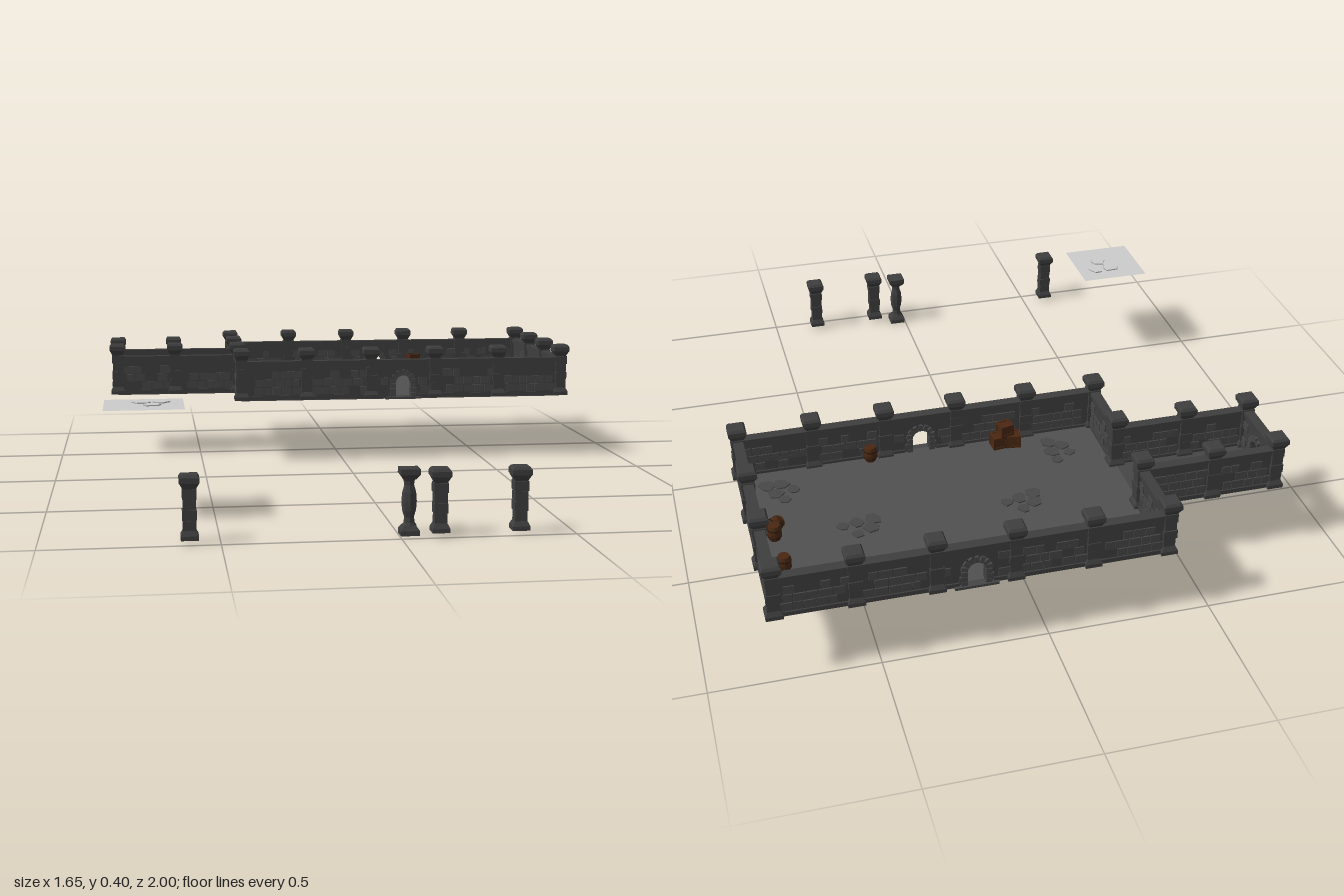
import * as THREE from 'three';
import { mergeGeometries } from 'three/addons/utils/BufferGeometryUtils.js';

const mat = (color, side = THREE.FrontSide) => {
  const m = new THREE.MeshStandardMaterial({ color, side });
  m.flatShading = true;
  return m;
};
const STONE = mat(0x3e3e3e), BRICK = mat(0x464646), FLOOR = mat(0x505050), HALL = mat(0x464646);
const SLAB = mat(0x484848), WOOD = mat(0x4a2812), IRON = mat(0x2a1a10);
const PALE = mat(0xcccccc, THREE.DoubleSide), LINE = mat(0x9a9a9a);
const Y0 = 0.22;

let seed = 7;
const rnd = (a = 0, b = 1) => {
  seed = (seed * 16807) % 2147483647;
  return a + (b - a) * (seed / 2147483647);
};

function mesh(name, geo, material, x = 0, y = 0, z = 0) {
  const m = new THREE.Mesh(geo, material);
  m.name = name;
  m.position.set(x, y, z);
  return m;
}
const box = (w, h, d, x = 0, y = 0, z = 0) => new THREE.BoxGeometry(w, h, d).translate(x, y, z);
// Square frustum given by its lower and upper widths
const frustum = (w0, w1, h, y) =>
  new THREE.CylinderGeometry(w1 / Math.SQRT2, w0 / Math.SQRT2, h, 4, 1).rotateY(Math.PI / 4)
    .translate(0, y + h / 2, 0).toNonIndexed();
const merge = (list) => mergeGeometries(list.map((g) => (g.index ? g.toNonIndexed() : g)));

// Square pier: stepped foot, uneven stone courses, flared cap
function pillar(x, y, z) {
  const parts = [frustum(0.05, 0.05, 0.012, 0), frustum(0.05, 0.036, 0.014, 0.012)];
  for (let i = 0; i < 4; i++) {
    const w = 0.036 + (i % 2) * 0.004 + rnd(-0.001, 0.002);
    parts.push(box(w, 0.0275, w, 0, 0.04 + i * 0.029, 0), box(0.034, 0.03, 0.034, 0, 0.04 + i * 0.029, 0));
  }
  parts.push(frustum(0.036, 0.054, 0.017, 0.142), frustum(0.056, 0.056, 0.015, 0.159), frustum(0.056, 0.045, 0.008, 0.174));
  return mesh('pillar', merge(parts), STONE, x, y, z);
}

// Column with a swelling shaft between square blocks
function baluster(x, y, z) {
  const pts = [[0.022, 0.025], [0.016, 0.035], [0.014, 0.05], [0.02, 0.07], [0.022, 0.095], [0.02, 0.12],
    [0.014, 0.142], [0.016, 0.155], [0.022, 0.165]].map((p) => new THREE.Vector2(...p));
  const parts = [frustum(0.054, 0.054, 0.014, 0), frustum(0.054, 0.036, 0.013, 0.014),
    new THREE.LatheGeometry(pts, 8), frustum(0.036, 0.056, 0.014, 0.16), frustum(0.056, 0.056, 0.016, 0.174)];
  return mesh('swellingColumn', merge(parts), STONE, x, y, z);
}

// Wall bay of length L along local x, optionally with an arched doorway
function wallBay(L, door) {
  const g = new THREE.Group();
  g.name = door ? 'doorwayBay' : 'wallBay';
  const h = 0.12, r = 0.027, spring = 0.053, t = 0.018;
  const s = new THREE.Shape();
  s.moveTo(-L / 2, 0);
  if (door) {
    s.lineTo(-r, 0);
    s.lineTo(-r, spring);
    s.absarc(0, spring, r, Math.PI, 0, true);
    s.lineTo(r, 0);
  }
  s.lineTo(L / 2, 0);
  s.lineTo(L / 2, h);
  s.lineTo(-L / 2, h);
  const core = new THREE.ExtrudeGeometry(s, { depth: t, bevelEnabled: false, curveSegments: 8 }).translate(0, 0, -t / 2);
  g.add(mesh('wallCore', core, STONE));
  // Coping: a narrow moulding below a wider slab
  g.add(mesh('coping', merge([box(L, 0.008, 0.024, 0, 0.12, 0), box(L, 0.014, 0.032, 0, 0.13, 0)]), STONE));
  // Foot course, interrupted by the doorway
  const clear = door ? 0.05 : 0;
  const half = L / 2 - clear;
  g.add(mesh('footCourse', merge([-1, 1].map((k) => box(half, 0.014, 0.028, k * (clear + half / 2), 0.007, 0))), STONE));
  // Raised bricks in staggered rows on both faces
  const bricks = [];
  for (const side of [-1, 1]) for (let row = 0; row < 3; row++) {
    let x = -L / 2 + 0.015 + (row % 2) * 0.012;
    while (x < L / 2 - 0.03) {
      const w = rnd(0.025, 0.043), c = x + w / 2;
      const blocked = door && Math.abs(c) < 0.048 + w / 2;
      if (!blocked && x + w < L / 2 - 0.01 && rnd() > (row === 2 ? 0.45 : 0.12))
        bricks.push(box(w - 0.003, 0.026, 0.006, c, 0.03 + row * 0.029, side * (t / 2 + rnd(0, 0.0015))));
      x += w;
    }
  }
  g.add(mesh('bricks', merge(bricks), BRICK));
  if (door) {
    // Jamb blocks, wedge stones round the arch, and a doorstep
    const parts = [box(0.13, 0.008, 0.045, 0, 0, 0)];
    for (const k of [-1, 1]) for (let i = 0; i < 3; i++)
      parts.push(box(0.018 + (i % 2) * 0.005, 0.0165, 0.034, k * (r + 0.009 + (i % 2) * 0.0025), 0.0085 + i * 0.0175, 0));
    for (let i = 0; i < 7; i++) {
      const a = (i + 0.5) * Math.PI / 7;
      parts.push(box(0.02, 0.013, 0.034, r + 0.01, 0, 0).rotateZ(a).translate(0, spring, 0));
    }
    g.add(mesh('archStones', merge(parts), BRICK));
  }
  return g;
}

// Irregular flat stone
function flag(r, h, n = 6) {
  const s = new THREE.Shape();
  for (let i = 0; i < n; i++) {
    const a = ((i + rnd(-0.25, 0.25)) / n) * Math.PI * 2, q = r * rnd(0.85, 1.1);
    i ? s.lineTo(q * Math.cos(a), q * Math.sin(a)) : s.moveTo(q * Math.cos(a), q * Math.sin(a));
  }
  return new THREE.ExtrudeGeometry(s, { depth: h, bevelEnabled: false }).rotateX(-Math.PI / 2);
}
function flagPatch(x, z, turn) {
  const spots = [[-0.04, -0.03, 0.027], [0.005, -0.035, 0.026], [-0.01, 0.012, 0.026], [0.042, -0.008, 0.02], [0.018, 0.046, 0.02]];
  const geo = merge(spots.map(([u, v, r]) => flag(r, 0.004).translate(u, 0, v)));
  const m = mesh('flagstones', geo, SLAB, x, Y0 + 0.005, z);
  m.rotation.y = turn;
  return m;
}

function crate(x, y, z, w, h, d, turn) {
  const g = new THREE.Group();
  g.name = 'crate';
  g.add(mesh('crateBody', box(w - 0.005, h - 0.005, d - 0.005), WOOD));
  const rails = [];
  for (const a of [-1, 1]) for (const b of [-1, 1]) {
    rails.push(box(w, 0.007, 0.007, 0, a * (h / 2 - 0.0035), b * (d / 2 - 0.0035)),
      box(0.007, h, 0.007, a * (w / 2 - 0.0035), 0, b * (d / 2 - 0.0035)),
      box(0.007, 0.007, d, a * (w / 2 - 0.0035), b * (h / 2 - 0.0035), 0));
  }
  g.add(mesh('crateRails', merge(rails), WOOD));
  g.position.set(x, y + h / 2, z);
  g.rotation.y = turn;
  return g;
}
function crateStack(x, z, turn) {
  const g = new THREE.Group();
  g.name = 'crateStack';
  g.add(crate(-0.022, 0, 0, 0.045, 0.042, 0.045, 0.1), crate(0.026, 0, 0.003, 0.045, 0.042, 0.045, -0.12),
    crate(0, 0.042, -0.002, 0.044, 0.038, 0.042, 0.25));
  g.position.set(x, Y0 + 0.005, z);
  g.rotation.y = turn;
  return g;
}
function barrel(x, z, lying) {
  const g = new THREE.Group();
  g.name = 'barrel';
  const pts = [[0, 0], [0.017, 0], [0.021, 0.015], [0.022, 0.025], [0.021, 0.035], [0.017, 0.05], [0, 0.05]];
  g.add(mesh('staves', new THREE.LatheGeometry(pts.map((p) => new THREE.Vector2(...p)), 10), WOOD));
  for (const y of [0.013, 0.037]) g.add(mesh('hoop', new THREE.CylinderGeometry(0.0222, 0.0222, 0.004, 10), IRON, 0, y, 0));
  g.position.set(x, Y0 + 0.005 + (lying ? 0.022 : 0), z);
  if (lying) g.rotation.set(0, 0.5, Math.PI / 2);
  return g;
}

export function createModel() {
  const root = new THREE.Group();
  root.name = 'dungeonRoomKit';

  // Floors of the room and the passage
  root.add(mesh('roomFloor', box(1.155, 0.01, 0.69), FLOOR, 0.2175, Y0, -0.63));
  root.add(mesh('passageFloor', box(0.435, 0.01, 0.23), HALL, -0.5775, Y0, -0.63));

  // Outline walked corner to corner: pillars at the points, bays between them
  const xs = [-0.36, -0.129, 0.102, 0.333, 0.564, 0.795];
  const zs = [-0.975, -0.745, -0.515, -0.285];
  const path = [
    ...xs.map((x) => [x, zs[0]]),
    [xs[5], zs[1]], [xs[5], zs[2]],
    ...[...xs].reverse().map((x) => [x, zs[3]]),
    [xs[0], zs[2]], [-0.588, zs[2]], [-0.795, zs[2]], [-0.795, zs[1]], [-0.588, zs[1]], [xs[0], zs[1]],
  ];
  const doors = [2, 10, 16];
  path.forEach(([x, z], i) => {
    root.add(pillar(x, Y0, z));
    const [u, v] = path[(i + 1) % path.length];
    const bay = wallBay(Math.hypot(u - x, v - z), doors.includes(i));
    bay.position.set((x + u) / 2, Y0, (z + v) / 2);
    bay.rotation.y = Math.atan2(z - v, u - x);
    root.add(bay);
  });

  // Loose paving on the room floor
  [[-0.11, -0.875, 0], [-0.02, -0.64, 1.2], [-0.2, -0.41, 2.5], [0.485, -0.64, 1.1], [0.66, -0.89, 0.4], [0.69, -0.41, 3]]
    .forEach((p) => root.add(flagPatch(...p)));

  // Crates and barrels along the walls
  root.add(crateStack(0.365, -0.92, 0.05), crateStack(-0.05, -0.335, Math.PI));
  root.add(barrel(0.735, -0.79), barrel(0.74, -0.64), barrel(0.755, -0.61, true), barrel(0.385, -0.31));

  // Separate supports standing in front
  for (const x of [-0.585, 0.113, 0.342]) root.add(pillar(x, 0.012, 0.97));
  root.add(baluster(0.03, 0, 0.94));

  // Spare floor panel with three pale stones and their joints
  root.add(mesh('floorPanel', new THREE.PlaneGeometry(0.235, 0.235).rotateX(-Math.PI / 2), PALE, -0.703, 0.333, 0.588));
  for (const [x, z, r] of [[-0.71, 0.548, 0.03], [-0.653, 0.545, 0.027], [-0.678, 0.605, 0.028]]) {
    const stone = flag(r, 0.003);
    root.add(mesh('panelStone', stone, PALE, x, 0.334, z));
    root.add(mesh('stoneJoint', stone.clone().scale(1.06, 0.5, 1.06), LINE, x, 0.3335, z));
  }
  return root;
}
